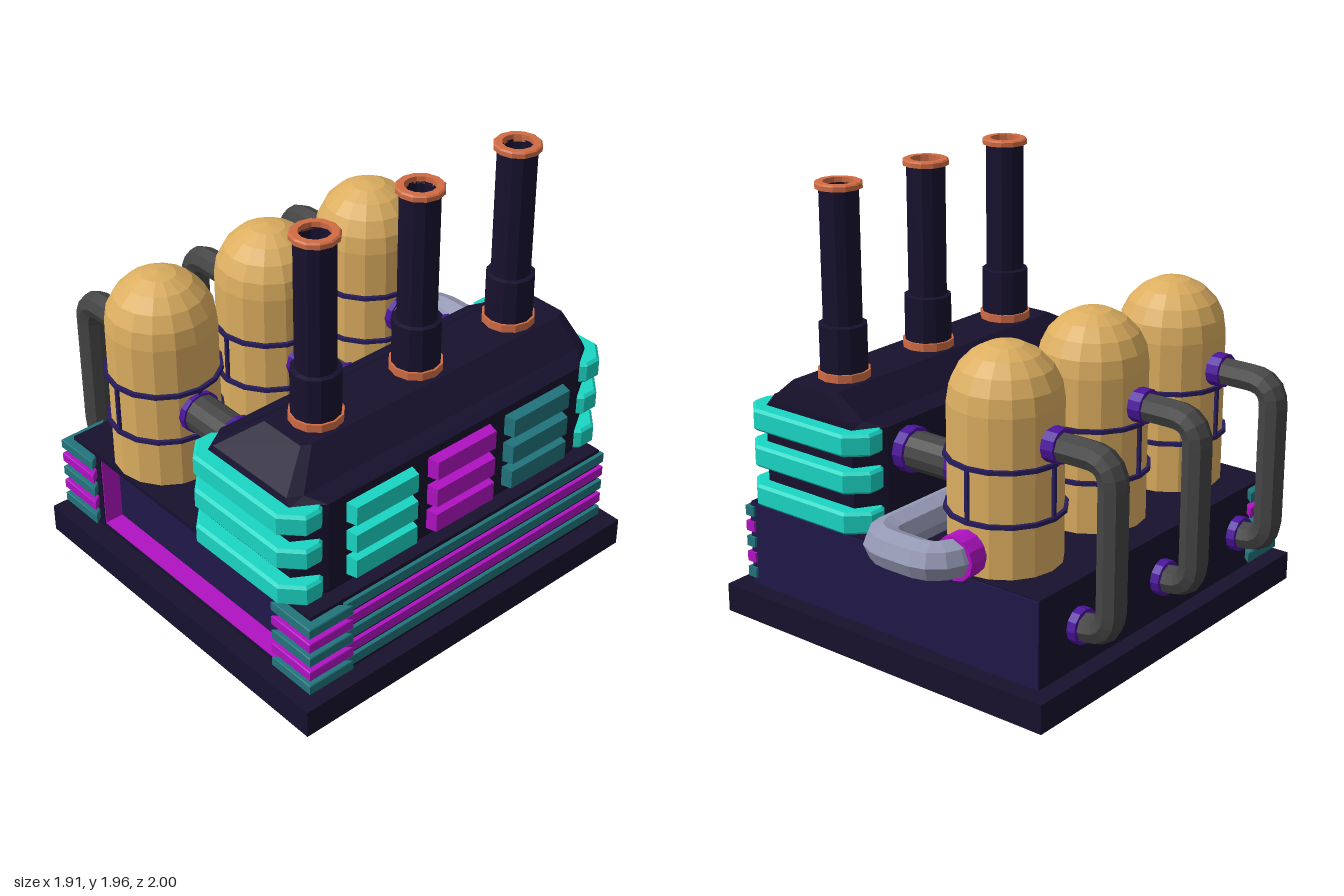
import * as THREE from 'three';

const C = 0.08; // the building is centred slightly forward
const mat = (color) => new THREE.MeshStandardMaterial({ color, flatShading: true });
const M = {
  dark: mat(0x17112e), indigo: mat(0x1f184a), ring: mat(0x261c5c), purple: mat(0x4a149c),
  teal: mat(0x1ad6c4), deepTeal: mat(0x21747c), magenta: mat(0xb012c2),
  gold: mat(0xdcae60), copper: mat(0xd06c44), pipe: mat(0x444444), steel: mat(0x9498b4),
};

function add(parent, name, geo, material, x = 0, y = 0, z = 0) {
  const m = new THREE.Mesh(geo, material);
  m.name = name;
  m.position.set(x, y, z);
  parent.add(m);
  return m;
}

// Box given by its limits
function box(parent, name, material, x0, x1, y0, y1, z0, z1) {
  return add(parent, name, new THREE.BoxGeometry(x1 - x0, y1 - y0, z1 - z0), material,
    (x0 + x1) / 2, (y0 + y1) / 2, (z0 + z1) / 2);
}

// Plan outline [x, z] raised to a bevelled slab from y0 to y1
function slab(parent, name, material, pts, y0, y1, bevel) {
  const shape = new THREE.Shape(pts.map(([x, z]) => new THREE.Vector2(x, -z)));
  const geo = new THREE.ExtrudeGeometry(shape, {
    depth: y1 - y0 - 2 * bevel, bevelEnabled: true, bevelSegments: 1,
    bevelSize: bevel, bevelOffset: -bevel, bevelThickness: bevel,
  });
  geo.rotateX(-Math.PI / 2);
  return add(parent, name, geo, material, 0, y0 + bevel, 0);
}

// Pipe through points with rounded corners
function pipe(parent, name, material, points, radius, bend, steps) {
  const p = points.map((a) => new THREE.Vector3(...a));
  const path = new THREE.CurvePath();
  let from = p[0];
  for (let i = 1; i < p.length - 1; i++) {
    const a = p[i].clone().add(p[i - 1].clone().sub(p[i]).setLength(bend));
    const b = p[i].clone().add(p[i + 1].clone().sub(p[i]).setLength(bend));
    path.add(new THREE.LineCurve3(from, a));
    path.add(new THREE.QuadraticBezierCurve3(a, p[i], b));
    from = b;
  }
  path.add(new THREE.LineCurve3(from, p[p.length - 1]));
  return add(parent, name, new THREE.TubeGeometry(path, steps, radius, 8), material);
}

// Collar lying along x
function collar(parent, material, x0, x1, y, z, r) {
  const geo = new THREE.CylinderGeometry(r, r, x1 - x0, 12).rotateZ(Math.PI / 2);
  return add(parent, 'pipeCollar', geo, material, (x0 + x1) / 2, y, z);
}

// Closed skin over eight-sided rings
function loft(rings) {
  const v = [];
  for (let k = 0; k < rings.length - 1; k++) {
    const a = rings[k], b = rings[k + 1];
    for (let i = 0; i < 8; i++) {
      const j = (i + 1) % 8;
      v.push(...a[i], ...a[j], ...b[j], ...a[i], ...b[j], ...b[i]);
    }
  }
  const top = rings[rings.length - 1], low = rings[0];
  for (let i = 1; i < 7; i++) {
    v.push(...top[0], ...top[i], ...top[i + 1], ...low[0], ...low[i + 1], ...low[i]);
  }
  const g = new THREE.BufferGeometry();
  g.setAttribute('position', new THREE.Float32BufferAttribute(v, 3));
  g.computeVertexNormals();
  return g;
}

// Octagonal ring around x = 0.5: half width, front, back and corner cuts
function ring(y, h, f, b, cx, cz) {
  return [[h, f - cz], [h, b + cz], [h - cx, b], [cx - h, b], [-h, b + cz], [-h, f - cz], [cx - h, f], [h - cx, f]]
    .map(([x, z]) => [0.5 + x, y, z]);
}

function buildBase(g) {
  box(g, 'plinth', M.dark, -0.81, 0.95, 0, 0.13, -0.92, 0.92);
  box(g, 'lowerBlock', M.dark, -0.73, 0.87, 0.13, 0.52, -0.83, 0.73);
  box(g, 'backPanel', M.indigo, -0.73, 0.87, 0.13, 0.515, -0.838, -0.83);
  // recessed front panel with a bright lining
  box(g, 'frontPanel', M.indigo, -0.535, 0.675, 0.15, 0.5, 0.73, 0.738);
  box(g, 'frontPostLeft', M.dark, 0.675, 0.87, 0.13, 0.52, 0.73, 0.83);
  box(g, 'frontPostRight', M.dark, -0.73, -0.535, 0.13, 0.52, 0.73, 0.83);
  box(g, 'frontSill', M.dark, -0.535, 0.675, 0.13, 0.147, 0.73, 0.83);
  box(g, 'frontLintel', M.dark, -0.535, 0.675, 0.5, 0.52, 0.73, 0.83);
  box(g, 'recessLining', M.magenta, -0.535, -0.53, 0.15, 0.5, 0.738, 0.826);
  box(g, 'recessLining', M.magenta, 0.67, 0.675, 0.15, 0.5, 0.738, 0.826);
  box(g, 'recessLining', M.magenta, -0.535, 0.675, 0.147, 0.152, 0.738, 0.826);

  // stacked strips: wrapped around the front corners, long along the left side
  for (let i = 0; i < 5; i++) {
    const y = 0.187 + i * 0.073, m = i % 2 ? M.magenta : M.deepTeal;
    for (const s of [-1, 1]) {
      const pts = [[0.82, 0.64], [0.82, 0.87], [0.585, 0.87], [0.62, 0.825], [0.775, 0.825], [0.775, 0.68]];
      slab(g, 'cornerStrip', m, pts.map(([x, z]) => [0.07 + s * x + (s > 0 ? 0.02 : -0.02), z]), y - 0.024, y + 0.024, 0.004);
    }
    box(g, 'sideStrip', m, 0.84, 0.888, y - 0.023, y + 0.023, -0.85, 0.66);
  }
}

function buildHousing(g) {
  add(g, 'housing', loft([
    ring(0.52, 0.30, 0.80, -0.80, 0.08, 0.12),
    ring(0.56, 0.33, 0.83, -0.83, 0.08, 0.13),
    ring(0.99, 0.33, 0.83, -0.83, 0.08, 0.13),
    ring(1.02, 0.255, 0.82, -0.83, 0.03, 0.06),
    ring(1.12, 0.13, 0.65, -0.82, 0.02, 0.04),
  ]), M.dark);

  // wrap-around bands at both ends
  const half = [[0.34, 0.745], [0.34, 0.82], [0.255, 0.90]];
  const inner = [[0.24, 0.80], [0.30, 0.70]];
  for (const y of [0.55, 0.73, 0.895]) {
    for (const s of [-1, 1]) {
      const right = [...half].map(([x, z]) => [0.5 + x, s * z]);
      const left = [...half].reverse().map(([x, z]) => [0.5 - x, s * z]);
      const back = [...inner].reverse().map(([x, z]) => [0.5 - x, s * z])
        .concat(inner.map(([x, z]) => [0.5 + x, s * z]));
      slab(g, 'endBand', M.teal, [...right, ...left, ...back], y, y + 0.098, 0.012);
    }
  }

  // side louvres: three columns of three tapered panels
  [M.teal, M.magenta, M.deepTeal].forEach((m, c) => {
    for (const y of [0.642, 0.768, 0.904]) {
      const geo = new THREE.BoxGeometry(0.07, 0.098, 0.355);
      const p = geo.attributes.position;
      for (let i = 0; i < p.count; i++) {
        if (p.getX(i) > 0) p.setXYZ(i, p.getX(i), p.getY(i) * 0.88, p.getZ(i) * 0.92);
      }
      add(g, 'sideLouvre', geo, m, 0.845, y, 0.434 - c * 0.434);
    }
  });
}

function buildChimney(g, z) {
  const c = new THREE.Group();
  c.name = 'chimney';
  c.position.set(0.5, 0, z);
  g.add(c);
  const turn = (name, m, pts) =>
    add(c, name, new THREE.LatheGeometry(pts.map(([r, y]) => new THREE.Vector2(r, y)), 12), m);
  turn('chimneyFoot', M.copper, [[0.115, 1.10], [0.115, 1.155], [0, 1.155]]);
  turn('chimneyStack', M.dark, [[0.105, 1.155], [0.105, 1.355], [0.086, 1.36], [0.086, 1.94]]);
  turn('chimneyFlue', M.dark, [[0.066, 1.94], [0.066, 1.6], [0, 1.6]]);
  turn('chimneyRim', M.copper, [[0.08, 1.932], [0.102, 1.936], [0.102, 1.956], [0.095, 1.962], [0.066, 1.962], [0.066, 1.93]]);
}

function buildTank(g, z) {
  const t = new THREE.Group();
  t.name = 'tank';
  t.position.set(-0.36, 0, z);
  g.add(t);
  const prof = [[0.24, 0.5], [0.24, 0.75], [0.24, 0.98], [0.24, 1.2]].map((a) => new THREE.Vector2(...a));
  for (let i = 1; i <= 5; i++) {
    const a = (i / 5) * Math.PI / 2;
    prof.push(new THREE.Vector2(i === 5 ? 0 : 0.24 * Math.cos(a), 1.2 + 0.245 * Math.sin(a)));
  }
  add(t, 'tankShell', new THREE.LatheGeometry(prof, 16), M.gold);
  for (const y of [0.75, 0.98]) add(t, 'tankHoop', new THREE.CylinderGeometry(0.256, 0.256, 0.018, 16), M.ring, 0, y);
  for (let i = 0; i < 4; i++) {
    const a = i * Math.PI / 2;
    const bar = add(t, 'tankBar', new THREE.BoxGeometry(0.016, 0.23, 0.02), M.ring,
      0.242 * Math.sin(a), 0.865, 0.242 * Math.cos(a));
    bar.rotation.y = a;
  }
  // outer down-pipe into the block
  pipe(g, 'downPipe', M.pipe, [[-0.58, 1.065, z], [-0.893, 1.065, z], [-0.893, 0.325, z], [-0.72, 0.325, z]], 0.063, 0.11, 30);
  collar(g, M.purple, -0.65, -0.59, 1.068, z, 0.075);
  collar(g, M.purple, -0.77, -0.72, 0.325, z, 0.078);
  // link pipe to the housing
  const link = new THREE.CylinderGeometry(0.085, 0.085, 0.3, 12).rotateZ(Math.PI / 2);
  add(g, 'linkPipe', link, M.pipe, 0.02, 0.865, z);
  collar(g, M.purple, -0.14, -0.105, 0.865, z, 0.095);
  collar(g, M.purple, 0.118, 0.175, 0.865, z, 0.1);
}

export function createModel() {
  const g = new THREE.Group();
  g.name = 'factory';
  g.position.z = C;
  buildBase(g);
  buildHousing(g);
  for (const z of [-0.605, -0.065, 0.475]) buildChimney(g, z);
  for (const z of [-0.58, 0, 0.585]) buildTank(g, z);

  // return pipe looping from the rear tank to the middle of the deck
  pipe(g, 'returnPipe', M.steel, [[-0.36, 0.625, -0.78], [-0.36, 0.625, -0.997], [-0.01, 0.625, -0.997],
    [-0.01, 0.625, 0.42], [-0.01, 0.5, 0.42]], 0.084, 0.12, 44);
  const flange = new THREE.CylinderGeometry(0.096, 0.096, 0.09, 12).rotateX(Math.PI / 2);
  add(g, 'returnFlange', flange, M.magenta, -0.36, 0.622, -0.865);

  const root = new THREE.Group();
  root.name = 'model';
  root.add(g);
  return root;
}
